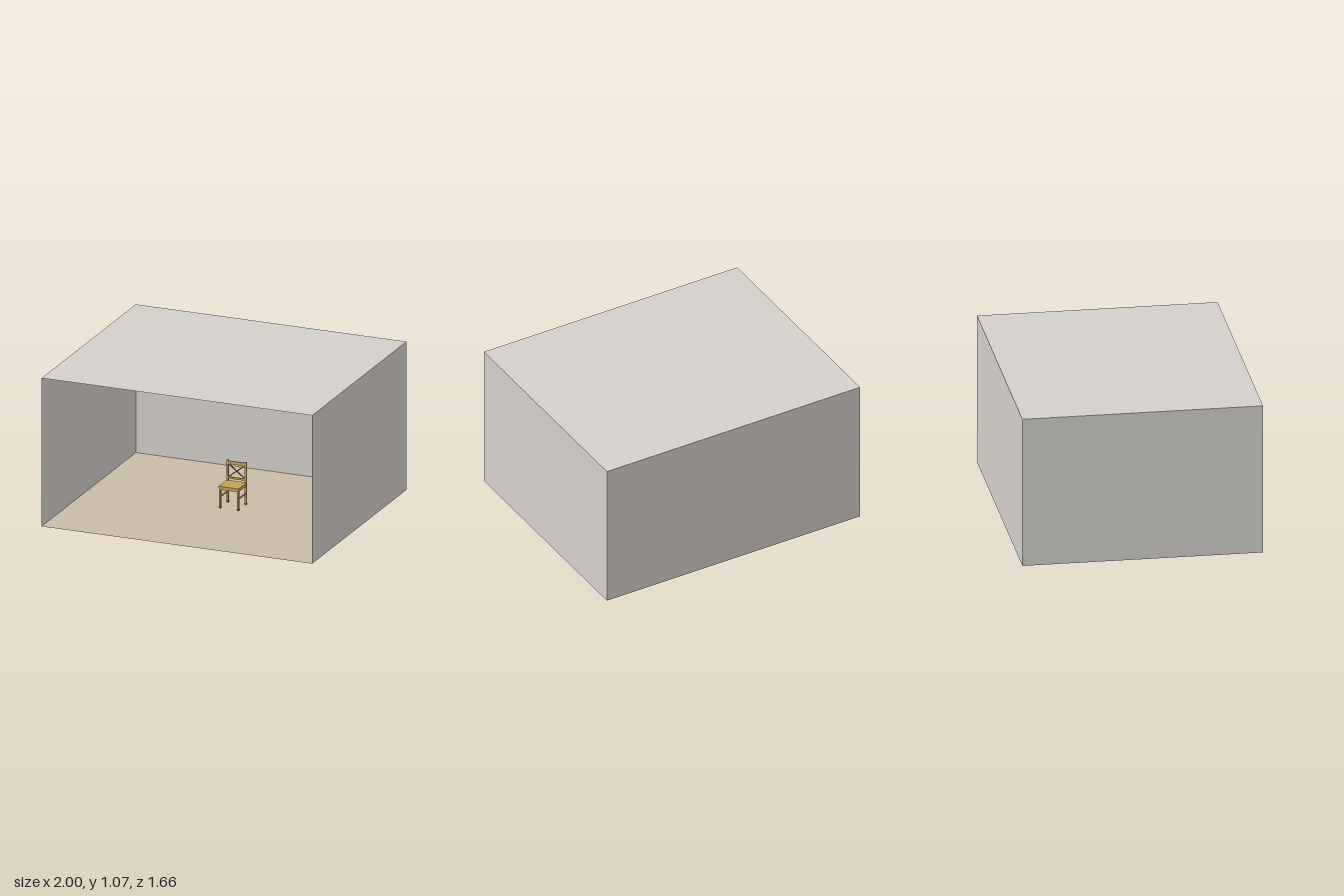
import * as THREE from 'three';

const W = 2, H = 1.07, D = 1.66;

function material(name, color, side = THREE.FrontSide) {
  const m = new THREE.MeshStandardMaterial({ color, side });
  m.name = name;
  return m;
}

export function createModel() {
  const wallPaint = material('warm grey wall', 0xd4d0cb, THREE.DoubleSide);
  const floorWood = material('beige floor', 0xc8bba8, THREE.DoubleSide);
  const wood = material('golden wood', 0xc4a258);
  const darkWood = material('dark wood', 0x7a6128);

  const model = new THREE.Group();
  model.name = 'roomWithChair';

  // Room shell: single-sheet surfaces, open at the front
  const room = new THREE.Group();
  room.name = 'room';
  model.add(room);
  const sheet = (name, w, h, mat, pos, rot) => {
    const mesh = new THREE.Mesh(new THREE.PlaneGeometry(w, h), mat);
    mesh.name = name;
    mesh.position.set(...pos);
    mesh.rotation.set(...rot);
    room.add(mesh);
  };
  sheet('floor', W, D, floorWood, [0, 0, 0], [-Math.PI / 2, 0, 0]);
  sheet('ceiling', W, D, wallPaint, [0, H, 0], [Math.PI / 2, 0, 0]);
  sheet('backWall', W, H, wallPaint, [0, H / 2, -D / 2], [0, 0, 0]);
  sheet('leftWall', D, H, wallPaint, [W / 2, H / 2, 0], [0, -Math.PI / 2, 0]);
  sheet('rightWall', D, H, wallPaint, [-W / 2, H / 2, 0], [0, Math.PI / 2, 0]);

  // Chair, built around its own centre on the floor
  const chair = new THREE.Group();
  chair.name = 'chair';
  chair.position.set(0.04, 0, -0.06);
  model.add(chair);
  const box = (name, size, pos, mat = wood) => {
    const mesh = new THREE.Mesh(new THREE.BoxGeometry(...size), mat);
    mesh.name = name;
    mesh.position.set(...pos);
    chair.add(mesh);
    return mesh;
  };
  const t = 0.013, legX = 0.067, frontZ = 0.066, backZ = -0.068;

  // Seat board and the rails beneath it
  box('seat', [0.148, 0.014, 0.146], [0, 0.151, 0.001]);
  box('frontApron', [0.122, 0.012, 0.008], [0, 0.138, frontZ]);
  box('backApron', [0.122, 0.012, 0.008], [0, 0.138, backZ]);

  // Legs, feet, posts and side rails, mirrored
  for (const s of [-1, 1]) {
    box('frontLeg', [t, 0.133, t], [s * legX, 0.0785, frontZ]);
    box('backPost', [t, 0.293, t], [s * legX, 0.1585, backZ]);
    for (const z of [frontZ, backZ])
      box('foot', [t, 0.012, t], [s * legX, 0.006, z], darkWood);
    box('sideApron', [0.008, 0.012, frontZ - backZ - t], [s * legX, 0.138, -0.001]);
    box('sideStretcher', [0.007, 0.008, frontZ - backZ - t], [s * legX, 0.08, -0.001]);
  }

  // Backrest rails and crossed braces
  box('topRail', [0.124, 0.022, 0.009], [0, 0.288, backZ]);
  box('lowerRail', [0.124, 0.013, 0.009], [0, 0.178, backZ]);
  const spanX = 0.121, spanY = 0.094;
  for (const s of [-1, 1]) {
    const brace = box('crossBrace', [Math.hypot(spanX, spanY), 0.007, 0.005],
      [0, 0.231, backZ + s * 0.001], darkWood);
    brace.rotation.z = s * Math.atan2(spanY, spanX);
  }

  return model;
}
